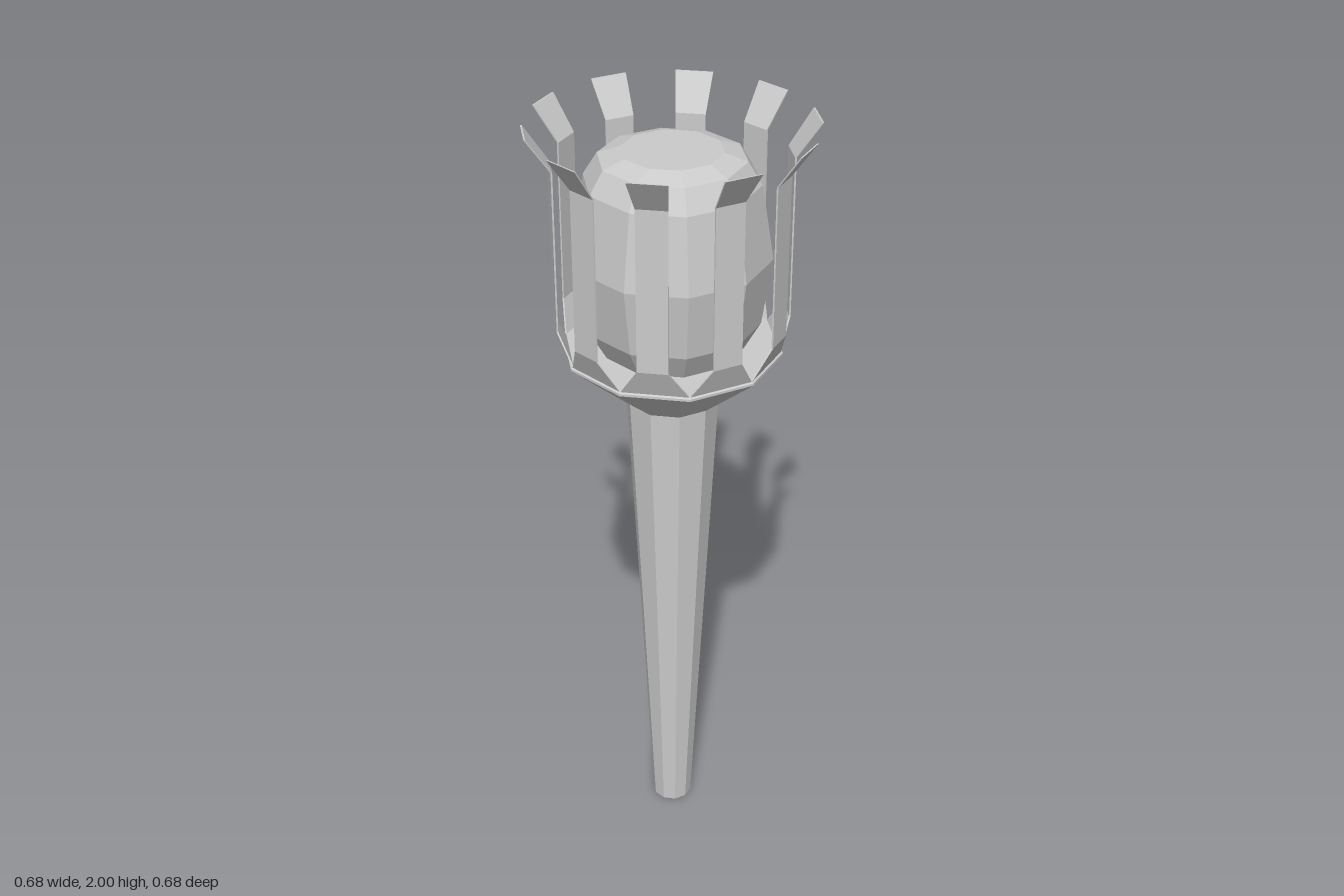
import * as THREE from 'three';

const SIDES = 10;
const material = new THREE.MeshStandardMaterial({ color: 0xcccccc, flatShading: true });

// Ten-sided turned part from a [radius, height] profile, bottom to top
function turned(name, profile) {
  const points = profile.map(([r, y]) => new THREE.Vector2(r, y));
  const mesh = new THREE.Mesh(new THREE.LatheGeometry(points, SIDES), material);
  mesh.name = name;
  return mesh;
}

// Thin bent strip facing +z, from [height, distance, half width] sections
function prongGeometry(sections, thickness) {
  const positions = [];
  const index = [];
  for (const [y, z, w] of sections) {
    const zi = z - thickness;
    positions.push(-w, y, z, w, y, z, w, y, zi, -w, y, zi);
  }
  for (let i = 0; i < sections.length - 1; i++) {
    for (let k = 0; k < 4; k++) {
      const a = i * 4 + k;
      const b = i * 4 + (k + 1) % 4;
      index.push(a, b, b + 4, a, b + 4, a + 4);
    }
  }
  const t = (sections.length - 1) * 4;
  index.push(0, 2, 1, 0, 3, 2, t, t + 1, t + 2, t, t + 2, t + 3);
  const geometry = new THREE.BufferGeometry();
  geometry.setAttribute('position', new THREE.Float32BufferAttribute(positions, 3));
  geometry.setIndex(index);
  geometry.computeVertexNormals();
  return geometry;
}

export function createModel() {
  const group = new THREE.Group();
  group.name = 'torch';

  // Tapered handle
  group.add(turned('handle', [[0, 0], [0.052, 0], [0.116, 1.3], [0, 1.3]]));

  // Flared cup with a thin flat rim
  group.add(turned('cup', [[0, 1.295], [0.116, 1.295], [0.27, 1.428], [0.27, 1.434], [0.262, 1.44], [0, 1.44]]));

  // Rounded head
  group.add(turned('head', [
    [0.17, 1.43], [0.215, 1.51], [0.24, 1.68], [0.21, 1.865], [0.176, 1.92], [0.122, 1.938], [0, 1.938],
  ]));

  // Ring of flared prongs, one on each flat side of the rim
  const prongs = new THREE.Group();
  prongs.name = 'prongs';
  const geometry = prongGeometry([
    [1.435, 0.252, 0.082], [1.51, 0.283, 0.037], [1.915, 0.283, 0.037], [2, 0.341, 0.046],
  ], 0.004);
  for (let i = 0; i < SIDES; i++) {
    const prong = new THREE.Mesh(geometry, material);
    prong.name = 'prong';
    prong.rotation.y = (i + 0.5) * 2 * Math.PI / SIDES;
    prongs.add(prong);
  }
  group.add(prongs);

  return group;
}
